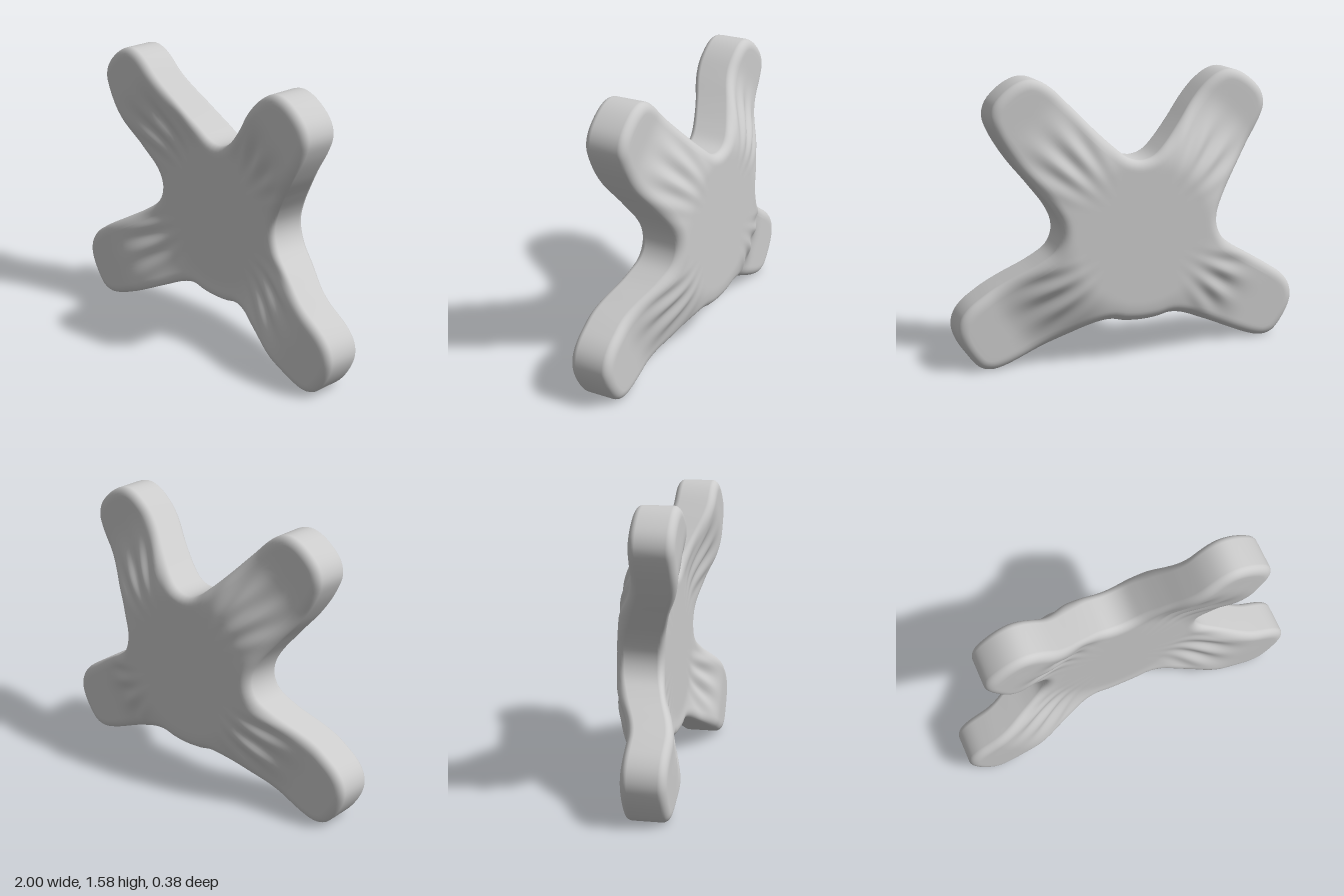
import * as THREE from 'three';

const CENTRE_Y = 0.72;
const AROUND = 280; // points along the outline
const CORE = 30;    // rings from the middle to the rounded edge
const EDGE = 7;     // rings over the rounded edge
const ROUND_IN = 0.055, ROUND_DEEP = 0.042;

// Right half of the outline, from the top notch round to the bottom middle
const HALF = [
  [0, 1.13], [0.07, 1.147], [0.15, 1.21], [0.25, 1.31], [0.35, 1.42], [0.45, 1.52],
  [0.52, 1.565], [0.58, 1.578], [0.65, 1.56], [0.73, 1.505], [0.78, 1.445], [0.797, 1.375],
  [0.77, 1.29], [0.68, 1.14], [0.57, 0.995], [0.49, 0.88], [0.457, 0.80], [0.457, 0.73],
  [0.49, 0.66], [0.57, 0.595], [0.7, 0.515], [0.85, 0.425], [0.94, 0.36], [0.985, 0.3],
  [1.0, 0.23], [0.98, 0.155], [0.925, 0.065], [0.88, 0.02], [0.82, 0.003], [0.75, 0.015],
  [0.6, 0.075], [0.4, 0.17], [0.25, 0.237], [0.17, 0.25], [0.1, 0.235], [0, 0.228],
];

function outline() {
  const left = HALF.slice(1, -1).reverse().map(([x, y]) => [-x, y]);
  const pts = [...HALF, ...left].map(([x, y]) => new THREE.Vector3(x, y, 0));
  const curve = new THREE.CatmullRomCurve3(pts, true, 'centripetal');
  curve.arcLengthDivisions = 1000;
  return Array.from({ length: AROUND }, (_, i) => {
    const p = curve.getPointAt(i / AROUND), t = curve.getTangentAt(i / AROUND);
    return { x: p.x, y: p.y, nx: -t.y, ny: t.x };
  });
}

// Radial folds where the arms step forward from the middle
function folds(x, y, r) {
  const angle = Math.atan2(y - CENTRE_Y, Math.abs(x));
  const off = angle - (angle > 0 ? 0.82 : -0.58);
  const along = Math.exp(-(((r - 0.6) / 0.14) ** 2));
  const across = Math.exp(-((off / 0.3) ** 2));
  return 0.011 * along * across * Math.cos(off * 30);
}

// Depth of the front (side = 1) or back (side = -1) surface
function depth(x, y, side) {
  const r = Math.hypot(x, y - CENTRE_Y);
  const t = THREE.MathUtils.smoothstep(r, 0.38, 0.88);
  return -0.06 + 0.13 * t + side * (0.13 - 0.01 * t) + folds(x, y, r);
}

function bodyGeometry() {
  const rim = outline();
  // Section from the front middle, over the edge, to the back middle
  const front = [];
  for (let j = 0; j < CORE; j++) front.push({ scale: j / CORE, inset: ROUND_IN, drop: 0 });
  for (let j = 0; j <= EDGE; j++) {
    const a = (j / EDGE) * Math.PI / 2;
    front.push({ scale: 1, inset: ROUND_IN * (1 - Math.sin(a)), drop: ROUND_DEEP * (1 - Math.cos(a)) });
  }
  const section = [
    ...front.map((s) => ({ ...s, side: 1 })),
    ...front.slice().reverse().map((s) => ({ ...s, side: -1 })),
  ];

  const pos = [], index = [];
  section.forEach(({ scale, inset, drop, side }, j) => {
    rim.forEach((p, i) => {
      const x = (p.x - p.nx * inset) * scale;
      const y = CENTRE_Y + (p.y - p.ny * inset - CENTRE_Y) * scale;
      pos.push(x, y, depth(x, y, side) - side * drop);
      if (j === section.length - 1) return;
      const k = (i + 1) % AROUND;
      const a = j * AROUND + i, b = a + AROUND;
      const d = j * AROUND + k, c = d + AROUND;
      if (j < section.length - 2) index.push(a, c, b);
      else index.push(a, d, b);
      if (j > 0 && j < section.length - 2) index.push(a, d, c);
    });
  });
  const geo = new THREE.BufferGeometry();
  geo.setAttribute('position', new THREE.Float32BufferAttribute(pos, 3));
  geo.setIndex(index);
  geo.computeVertexNormals();
  return geo;
}

export function createModel() {
  const group = new THREE.Group();
  group.name = 'fourArmedPad';
  const body = new THREE.Mesh(bodyGeometry(), new THREE.MeshStandardMaterial({ color: 0xcccccc }));
  body.name = 'padBody';
  group.add(body);
  return group;
}
